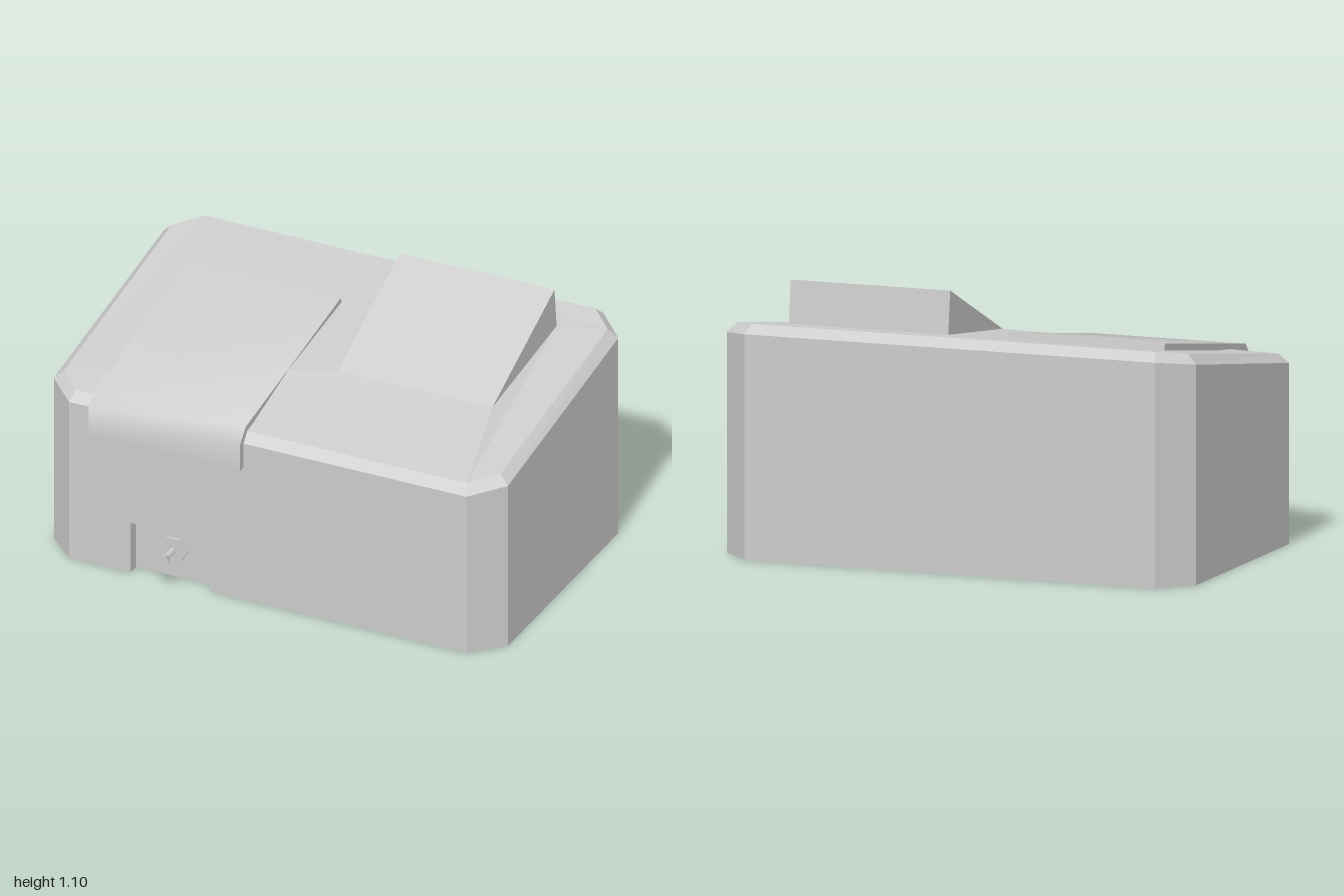
import * as THREE from 'three';
import { toCreasedNormals } from 'three/addons/utils/BufferGeometryUtils.js';

const material = new THREE.MeshStandardMaterial({ color: 0xcccccc, side: THREE.DoubleSide });

function addMesh(parent, name, geometry) {
  const mesh = new THREE.Mesh(geometry, material);
  mesh.name = name;
  parent.add(mesh);
  return mesh;
}

// Flat-faced geometry from a list of triangles (arrays of three points)
function fromTriangles(tris) {
  const g = new THREE.BufferGeometry();
  g.setAttribute('position', new THREE.Float32BufferAttribute(tris.flat(2), 3));
  g.computeVertexNormals();
  return g;
}

// Side profile given as [z, y] points, extruded from x0 to x1
function sideProfile(points, x0, x1) {
  const shape = new THREE.Shape(points.map(([z, y]) => new THREE.Vector2(z, y)));
  const g = new THREE.ExtrudeGeometry(shape, { depth: x1 - x0, bevelEnabled: false });
  g.rotateY(-Math.PI / 2);
  g.translate(x1, 0, 0);
  return toCreasedNormals(g, 0.8);
}

// Rectangle with cut corners, anticlockwise from above; y follows a sloping rule
function octagon(x, cx, front, cFront, back, cBack, height) {
  return [[cx, front], [x, cFront], [x, cBack], [cx, back],
    [-cx, back], [-x, cBack], [-x, cFront], [-cx, front]].map(([px, z]) => [px, height(z), z]);
}

export function createModel() {
  const model = new THREE.Group();
  model.name = 'slopedCase';

  // Case rings: open base, sloping shoulder and inset top edge
  const shoulderY = (z) => 0.71 + 0.159 * (0.59 - z);
  const base = octagon(1, 0.875, 0.59, 0.47, -0.66, -0.535, () => 0);
  const shoulder = octagon(1, 0.875, 0.59, 0.47, -0.66, -0.535, shoulderY);
  const rim = octagon(0.96, 0.86, 0.555, 0.455, -0.62, -0.52, (z) => 0.75 + 0.166 * (0.555 - z));
  const band = (low, high, count) => {
    const tris = [];
    for (let i = 0; i < count; i++) {
      const j = (i + 1) % 8;
      tris.push([low[i], low[j], high[j]], [low[i], high[j], high[i]]);
    }
    return fromTriangles(tris);
  };
  addMesh(model, 'walls', band(base, shoulder, 7));
  addMesh(model, 'bevel', band(shoulder, rim, 8));

  // Front wall with a notch for the recess
  const n0 = -0.605, n1 = -0.255, nTop = 0.225, depth = 0.05;
  const front = new THREE.Shape([
    [-0.875, 0], [n0, 0], [n0, nTop], [n1, nTop], [n1, 0], [0.875, 0], [0.875, 0.71], [-0.875, 0.71],
  ].map(([x, y]) => new THREE.Vector2(x, y)));
  addMesh(model, 'frontWall', new THREE.ShapeGeometry(front).translate(0, 0, 0.59));

  // Recess: back, two sides and ceiling
  const recess = new THREE.Group();
  recess.name = 'recess';
  model.add(recess);
  const midX = (n0 + n1) / 2, w = n1 - n0, midZ = 0.59 - depth / 2;
  addMesh(recess, 'recessBack', new THREE.PlaneGeometry(w, nTop).translate(midX, nTop / 2, 0.59 - depth));
  addMesh(recess, 'recessCeiling', new THREE.PlaneGeometry(w, depth).rotateX(Math.PI / 2).translate(midX, nTop, midZ));
  for (const [x, turn] of [[n0, 1], [n1, -1]]) {
    addMesh(recess, 'recessSide',
      new THREE.PlaneGeometry(depth, nTop).rotateY(turn * Math.PI / 2).translate(x, nTop / 2, midZ));
  }

  // Sloping top, rising gently to the foot of the wedge
  const wx0 = 0.085, wx1 = 0.765;
  const foot = [[wx0, 0.853, 0.125], [wx0, 0.925, -0.46], [wx1, 0.925, -0.46], [wx1, 0.853, 0.125]];
  const flat = (ring) => ring.map(([x, , z]) => new THREE.Vector2(x, -z));
  const points = [...rim, ...foot];
  const faces = THREE.ShapeUtils.triangulateShape(flat(rim), [flat(foot)]);
  addMesh(model, 'top', fromTriangles(faces.map((f) => f.map((i) => points[i]))));

  // Raised wedge
  addMesh(model, 'wedge', sideProfile([[0.125, 0.853], [-0.44, 1.1], [-0.46, 0.925]], wx0, wx1));

  // Bent cover plate folding over the front edge
  addMesh(model, 'coverPlate', sideProfile([
    [0.62, 0.6], [0.62, 0.72], [0.57, 0.775], [-0.3, 0.92],
    [-0.307, 0.875], [0.555, 0.73], [0.575, 0.7], [0.575, 0.6],
  ], -0.775, -0.107));

  // Six-sided nut, thin stem and flared knob
  const knob = new THREE.Group();
  knob.name = 'knob';
  knob.position.set(-0.435, 0.122, 0);
  model.add(knob);
  const hexPart = (name, rFront, rBack, z0, z1) => {
    const g = new THREE.CylinderGeometry(rFront, rBack, z1 - z0, 6);
    g.rotateY(Math.PI / 6).rotateX(Math.PI / 2).translate(0, 0, (z0 + z1) / 2);
    addMesh(knob, name, toCreasedNormals(g, 0.5));
  };
  hexPart('nut', 0.06, 0.06, 0.53, 0.552);
  hexPart('stem', 0.013, 0.013, 0.55, 0.625);
  hexPart('knobFlare', 0.034, 0.016, 0.618, 0.645);
  hexPart('knobFace', 0.038, 0.034, 0.645, 0.66);

  return model;
}
